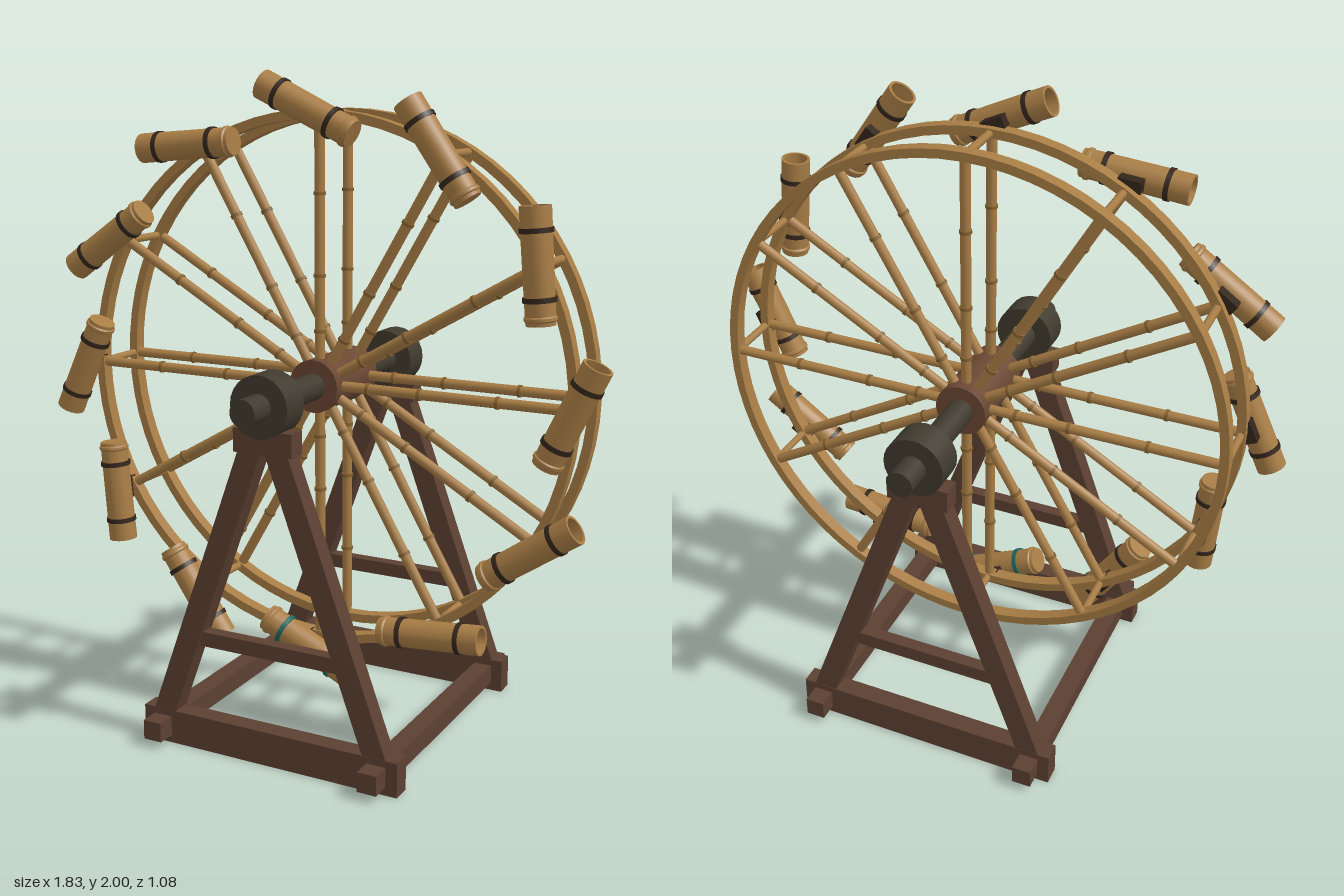
import * as THREE from 'three';
import { toCreasedNormals } from 'three/addons/utils/BufferGeometryUtils.js';

const paint = (name, color) => {
  const m = new THREE.MeshStandardMaterial({ color });
  m.name = name;
  return m;
};

export function createModel() {
  const bamboo = paint('bamboo', 0xa87d45);
  const node = paint('bambooNode', 0x86622f);
  const timber = paint('timber', 0x5c4032);
  const hubWood = paint('hubWood', 0x6a4733);
  const axleWood = paint('axleWood', 0x403a2e);
  const lashing = paint('lashing', 0x33251c);
  const teal = paint('tealBand', 0x1f6660);

  const HUB_Y = 1.085, RIM_Z = 0.09, COUNT = 12;
  const root = new THREE.Group();
  root.name = 'waterWheel';

  function add(parent, name, geometry, material, x = 0, y = 0, z = 0) {
    const mesh = new THREE.Mesh(geometry, material);
    mesh.name = name;
    mesh.position.set(x, y, z);
    parent.add(mesh);
    return mesh;
  }
  const box = (w, h, d) => new THREE.BoxGeometry(w, h, d);
  const rod = (r, length, sides = 12) => new THREE.CylinderGeometry(r, r, length, sides);
  const rodZ = (r, length, sides) => rod(r, length, sides).rotateX(Math.PI / 2);
  const lathe = (points, sides) => toCreasedNormals(
    new THREE.LatheGeometry(points.map(([x, y]) => new THREE.Vector2(x, y)), sides), 0.6);

  // Supporting frame: two A-frames joined by long base beams
  const frame = new THREE.Group();
  frame.name = 'frame';
  root.add(frame);
  for (const side of [1, -1]) {
    const z = side * 0.405;
    add(frame, 'baseBeam', box(0.852, 0.105, 0.06), timber, 0, 0.0525, z);
    add(frame, 'crossBrace', box(0.5, 0.045, 0.04), timber, 0, 0.353, z);
    add(frame, 'saddleBlock', box(0.19, 0.07, 0.06), timber, 0, 0.98, z);
    add(frame, 'bearing', rodZ(0.092, 0.095, 24), axleWood, 0, HUB_Y, z);
    for (const s of [1, -1]) {
      const leg = add(frame, 'leg', box(0.07, 0.97, 0.058), timber, s * 0.197, 0.53, z);
      leg.rotation.z = s * 0.35;
    }
    add(frame, 'sideBeam', box(0.06, 0.06, 0.99), timber, side * 0.36, 0.055, 0);
  }

  // Rotating wheel
  const wheel = new THREE.Group();
  wheel.name = 'wheel';
  wheel.position.y = HUB_Y;
  root.add(wheel);
  add(wheel, 'axle', rodZ(0.04, 1.08, 20), axleWood);
  add(wheel, 'hub', rodZ(0.08, 0.268, 24), hubWood);

  const rim = lathe([[0.778, -0.02], [0.805, -0.02], [0.805, 0.02],
    [0.778, 0.02], [0.778, -0.02]], 72).rotateX(Math.PI / 2);
  for (const z of [RIM_Z, -RIM_Z]) add(wheel, 'rim', rim, bamboo, 0, 0, z);

  // Hollow bucket, closed at y = -0.16 and open at y = +0.16
  const bucketShell = lathe([[0, -0.16], [0.041, -0.16], [0.042, -0.15], [0.046, -0.146],
    [0.046, -0.138], [0.042, -0.134], [0.044, 0.16], [0.036, 0.16], [0.034, -0.13], [0, -0.13]], 20);
  const band = lathe([[0.041, -0.007], [0.047, -0.007], [0.047, 0.007], [0.041, 0.007]], 20);
  const spoke = rod(0.0155, 0.72, 10).rotateZ(-Math.PI / 2);
  const spokeNode = rod(0.0185, 0.01, 10).rotateZ(-Math.PI / 2);
  const rung = rodZ(0.012, 0.18, 8);

  for (let i = 0; i < COUNT; i++) {
    const arm = new THREE.Group();
    arm.name = 'arm';
    arm.rotation.z = i * Math.PI * 2 / COUNT;
    wheel.add(arm);

    // Paired spokes with joints, tied by a rung at the rim
    for (const z of [RIM_Z, -RIM_Z]) {
      add(arm, 'spoke', spoke, bamboo, 0.425, 0, z);
      for (const r of [0.16, 0.325, 0.565]) add(arm, 'spokeNode', spokeNode, node, r, 0, z);
    }
    add(arm, 'rung', rung, bamboo, 0.79, 0, 0);

    // Tilted bucket; the one at the bottom carries teal bands
    const bucket = new THREE.Group();
    bucket.name = 'bucket';
    bucket.position.set(0.806, 0, 0.165);
    bucket.rotation.z = -0.44;
    arm.add(bucket);
    add(bucket, 'bucketShell', bucketShell, bamboo);
    for (const y of [0.095, -0.09]) add(bucket, 'bucketBand', band, i === 9 ? teal : lashing, 0, y, 0);
    add(bucket, 'bucketTie', box(0.035, 0.07, 0.035), lashing, 0, 0, -0.056);
  }
  return root;
}
